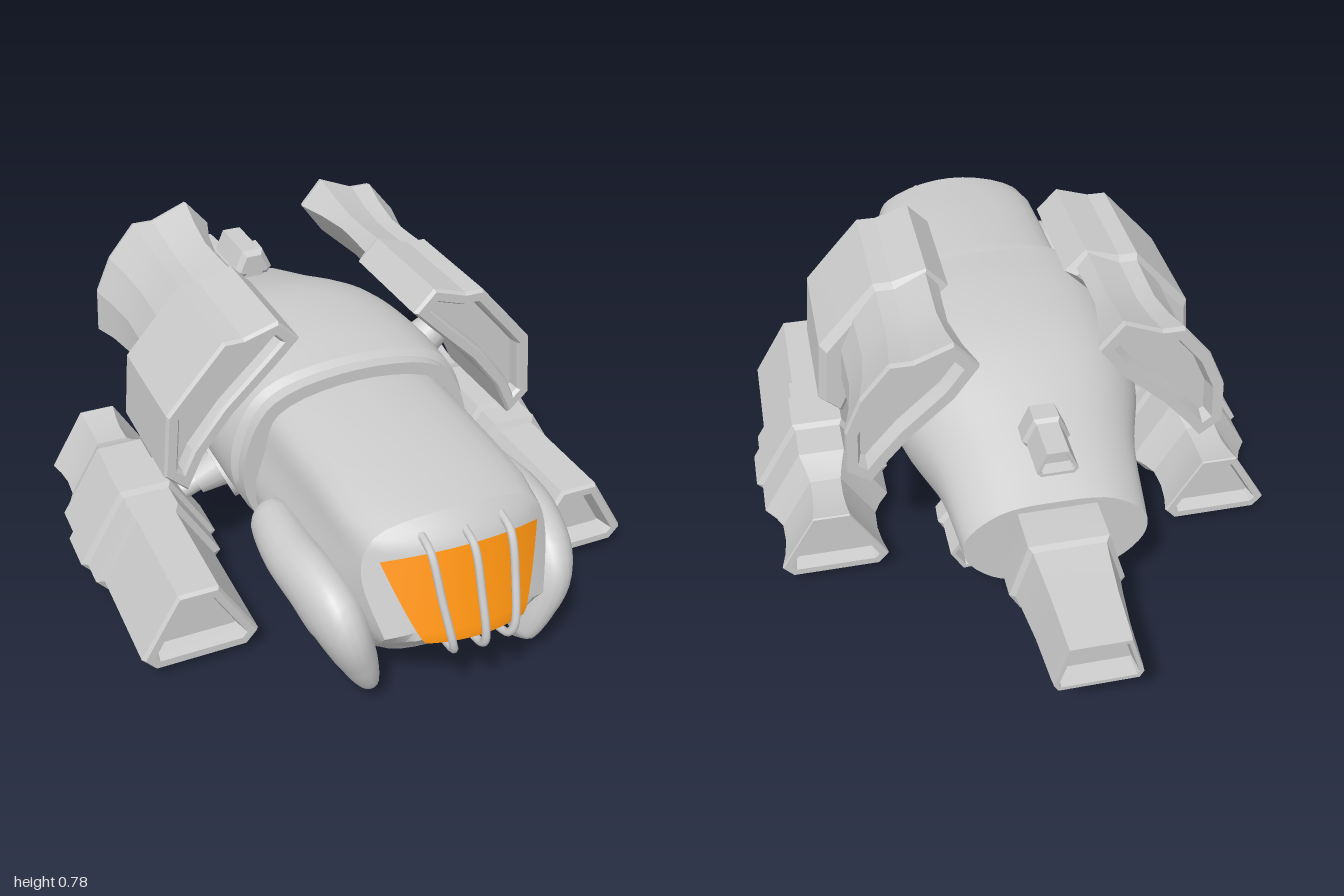
import * as THREE from 'three';
import { toCreasedNormals } from 'three/addons/utils/BufferGeometryUtils.js';

const V3 = (x, y, z) => new THREE.Vector3(x, y, z);
const grey = new THREE.MeshStandardMaterial({ color: 0xcccccc });
const orange = new THREE.MeshStandardMaterial({ color: 0xff9410, side: THREE.DoubleSide });

// Skin over a list of rings (clockwise seen from +z, running towards -z)
function loft(rings, crease, caps = true) {
  const n = rings[0].length, last = rings.length - 1, index = [];
  for (let i = 0; i < last; i++) for (let j = 0; j < n; j++) {
    const k = (j + 1) % n, a = i * n + j, b = i * n + k;
    index.push(a, b, a + n, b, b + n, a + n);
  }
  if (caps) for (const [i, sign] of [[0, 1], [last, -1]]) {
    const ring = rings[i].map(p => new THREE.Vector2(p.x, p.y));
    for (const [a, b, c] of THREE.ShapeUtils.triangulateShape(ring, [])) {
      const ccw = THREE.ShapeUtils.area([ring[a], ring[b], ring[c]]) * sign > 0;
      index.push(i * n + a, i * n + (ccw ? b : c), i * n + (ccw ? c : b));
    }
  }
  const geo = new THREE.BufferGeometry().setFromPoints(rings.flat());
  geo.setIndex(index);
  return toCreasedNormals(geo, crease);
}

// Outline moved inwards by d
function inset(pts, d) {
  const n = pts.length;
  const normal = (a, b) => new THREE.Vector2(b[1] - a[1], a[0] - b[0]).normalize();
  return pts.map((p, i) => {
    const u = normal(pts[(i + n - 1) % n], p), v = normal(p, pts[(i + 1) % n]);
    const s = d / (1 + u.dot(v));
    return [p[0] + (u.x + v.x) * s, p[1] + (u.y + v.y) * s];
  });
}

// Faceted body: one outline, stations of [z, inset]
const prism = (outline, stations) =>
  loft(stations.map(([z, d]) => inset(outline, d).map(p => V3(p[0], p[1], z))), 0.2);

// Symmetrical outline from its right half, listed from top to bottom
const both = half => [...half, ...half.map(([x, y]) => [-x, y]).reverse()];

function mirror(source) {
  const geo = source.index ? source.toNonIndexed() : source.clone();
  for (const name of ['position', 'normal']) {
    const a = geo.attributes[name];
    for (let i = 0; i < a.count; i += 3) {
      const p = [0, 2, 1].map(k => [-a.getX(i + k), a.getY(i + k), a.getZ(i + k)]);
      p.forEach((q, k) => a.setXYZ(i + k, ...q));
    }
  }
  return geo;
}

function strut(a, b, r1, r2, sides = 16) {
  const dir = b.clone().sub(a), geo = new THREE.CylinderGeometry(r2, r1, dir.length(), sides);
  geo.applyQuaternion(new THREE.Quaternion().setFromUnitVectors(V3(0, 1, 0), dir.normalize()));
  const mid = a.clone().add(b).multiplyScalar(0.5);
  return geo.translate(mid.x, mid.y, mid.z);
}

// Rounded hull section from half an outline (first and last on the centre line)
function section(half, z) {
  const pts = [...half, ...half.slice(1, -1).map(([x, y]) => [-x, y]).reverse()];
  return new THREE.CatmullRomCurve3(pts.map(p => V3(p[0], p[1], z)), true).getPoints(50).slice(0, -1);
}
function smooth(rings, n) {
  const lines = rings[0].map((_, j) => new THREE.CatmullRomCurve3(rings.map(r => r[j])).getPoints(n));
  return lines[0].map((_, i) => lines.map(l => l[i]));
}

// Depth of the curved face at x, y
const FACE = [[0.05, 0.78], [0.1, 0.8], [0.2, 0.91], [0.25, 0.96], [0.46, 0.89], [0.52, 0.84], [0.6, 0.78]];
function faceZ(x, y) {
  const i = Math.max(1, FACE.findIndex(f => f[0] >= y)), [a, b] = [FACE[i - 1], FACE[i]];
  return a[1] + (b[1] - a[1]) * (y - a[0]) / (b[0] - a[0]) - 1.4 * x * x;
}

export function createModel() {
  const model = new THREE.Group();
  const add = (name, geo, mat = grey) => {
    const m = new THREE.Mesh(geo, mat);
    m.name = name;
    model.add(m);
  };
  const pair = (name, geo) => {
    add(name + 'Left', geo);
    add(name + 'Right', mirror(geo));
  };

  // Front hull with its curved face
  const rim = section([[0, 0.52], [0.2, 0.475], [0.235, 0.4], [0.205, 0.25], [0.15, 0.1], [0, 0.09]], 0);
  const nose = [0.02, 0.15, 0.3, 0.4, 0.5, 0.6, 0.7, 0.8, 0.9, 1].map(t => rim.map(p => {
    const x = p.x * t, y = 0.31 + (p.y - 0.31) * t;
    return V3(x, y, faceZ(x, y));
  }));
  add('frontHull', loft([...nose,
    section([[0, 0.53], [0.22, 0.485], [0.245, 0.4], [0.265, 0.27], [0.185, 0.09], [0, 0.085]], 0.73),
    section([[0, 0.545], [0.22, 0.495], [0.25, 0.4], [0.275, 0.27], [0.2, 0.105], [0, 0.085]], 0.6),
    section([[0, 0.555], [0.22, 0.505], [0.26, 0.4], [0.285, 0.28], [0.205, 0.11], [0, 0.085]], 0.29)], 0.6));

  // Rear hull, starting with a raised collar and ending in a wide flat stern
  const collar = [[0, 0.585], [0.23, 0.54], [0.3, 0.43], [0.31, 0.29], [0.2, 0.115], [0, 0.08]];
  const body = smooth([
    section([[0, 0.6], [0.24, 0.555], [0.32, 0.43], [0.32, 0.29], [0.2, 0.115], [0, 0.075]], 0.27),
    section([[0, 0.61], [0.245, 0.56], [0.335, 0.43], [0.33, 0.3], [0.2, 0.12], [0, 0.08]], 0.1),
    section([[0, 0.595], [0.22, 0.55], [0.32, 0.43], [0.32, 0.3], [0.2, 0.13], [0, 0.1]], -0.14),
    section([[0, 0.52], [0.16, 0.49], [0.25, 0.41], [0.25, 0.3], [0.17, 0.18], [0, 0.145]], -0.38),
    section([[0, 0.435], [0.14, 0.42], [0.225, 0.35], [0.222, 0.28], [0.14, 0.205], [0, 0.195]], -0.597)], 20);
  add('rearHull', loft([section(collar, 0.32), section(collar, 0.285), ...body], 0.6));

  // Visor
  const visor = new THREE.PlaneGeometry(2, 1, 20, 14), vp = visor.attributes.position;
  for (let i = 0; i < vp.count; i++) {
    const u = vp.getX(i), v = vp.getY(i) + 0.5;
    const x = u * (0.125 + 0.075 * Math.pow(v, 0.8)), y = 0.247 + 0.21 * v - 0.025 * u * u * v;
    vp.setXYZ(i, x, y, faceZ(x, y) + 0.01);
  }
  visor.computeVertexNormals();
  add('visor', visor, orange);

  // Visor guard bars
  for (const s of [-1, 0, 1]) {
    const path = [[0.1, 0.478, -0.01], [0.1, 0.46, 0.025], [0.092, 0.36, 0.038], [0.078, 0.26, 0.035], [0.07, 0.235, 0.035], [0.065, 0.218, -0.02]]
      .map(([x, y, d]) => V3(s * x, y, faceZ(s * x, y) + d));
    add('visorBar', new THREE.TubeGeometry(new THREE.CatmullRomCurve3(path), 40, 0.01, 8));
  }

  // Cheek guards: [x, y, z, sideways radius, other radius]
  const guard = [[0.195, 0.05, 0.815, 0.002, 0.002], [0.208, 0.075, 0.815, 0.03, 0.05], [0.237, 0.15, 0.81, 0.05, 0.08],
    [0.272, 0.245, 0.79, 0.065, 0.095], [0.292, 0.29, 0.71, 0.066, 0.082], [0.303, 0.303, 0.6, 0.066, 0.068],
    [0.295, 0.305, 0.47, 0.058, 0.06], [0.29, 0.305, 0.44, 0.04, 0.05], [0.29, 0.305, 0.437, 0.002, 0.002]];
  const gPath = new THREE.CatmullRomCurve3(guard.map(g => V3(g[0], g[1], g[2])));
  const gSize = new THREE.CatmullRomCurve3(guard.map(g => V3(g[3], g[4], 0)));
  const gRings = [];
  for (let i = 0; i <= 48; i++) {
    const p = gPath.getPoint(i / 48), r = gSize.getPoint(i / 48), t = gPath.getTangent(i / 48);
    const n1 = V3(1, 0, 0).addScaledVector(t, -t.x).normalize(), n2 = t.clone().cross(n1);
    gRings.push(Array.from({ length: 20 }, (_, j) => {
      const a = j / 20 * Math.PI * 2;
      return p.clone().addScaledVector(n1, Math.cos(a) * r.x).addScaledVector(n2, Math.sin(a) * r.y);
    }));
  }
  pair('cheekGuard', loft(gRings, 0.9, false));

  // Upper wings: thick front section and flared rear section, both slotted
  const wingFront = [[0.155, 0.7], [0.21, 0.758], [0.3, 0.73], [0.35, 0.73], [0.43, 0.64], [0.5, 0.56], [0.515, 0.39],
    [0.455, 0.335], [0.41, 0.43], [0.33, 0.53], [0.22, 0.635]];
  const wingRear = [[0.165, 0.715], [0.21, 0.768], [0.3, 0.732], [0.352, 0.732], [0.42, 0.65], [0.46, 0.56], [0.465, 0.455],
    [0.425, 0.425], [0.395, 0.465], [0.33, 0.54], [0.22, 0.64]];
  pair('wingFront', prism(wingFront, [[0.27, 0.038], [0.3, 0.034], [0.31, 0.028], [0.31, 0.006], [0.3, 0],
    [-0.02, 0], [-0.05, 0.018]]));
  pair('wingRear', prism(wingRear, [[0, 0.012], [-0.1, 0.016], [-0.2, 0.018], [-0.3, 0.004], [-0.385, -0.016],
    [-0.4, -0.013], [-0.4, 0.014], [-0.36, 0.024]]));
  pair('wingStrut', strut(V3(0.24, 0.46, 0.1), V3(0.41, 0.58, 0.1), 0.042, 0.03));
  pair('wingStrutBase', strut(V3(0.25, 0.465, 0.1), V3(0.34, 0.53, 0.1), 0.06, 0.045));

  // Lower pods with stepped bands and hollow ends
  const podOutline = both([[0.068, 0.265], [0.185, 0.068], [0.13, 0.005]]);
  pair('pod', prism(podOutline, [[0.52, 0.066], [0.55, 0.06], [0.57, 0.055], [0.57, 0.036], [0.56, 0.03],
    [0.245, 0.03], [0.235, 0.013], [0.16, 0.013], [0.15, 0], [0.03, 0], [0.02, 0.013],
    [-0.085, 0.013], [-0.125, 0.035], [-0.16, 0.048], [-0.22, 0.05], [-0.27, 0.045], [-0.315, 0.036],
    [-0.32, 0.038], [-0.32, 0.056], [-0.28, 0.064]]).translate(0.525, 0, 0));
  pair('podStrut', strut(V3(0.24, 0.25, 0.08), V3(0.45, 0.155, 0.08), 0.034, 0.026));
  pair('podStrutCone', strut(V3(0.27, 0.235, 0.08), V3(0.365, 0.193, 0.08), 0.062, 0.038));
  const socket = strut(V3(0.22, 0.26, 0), V3(0.305, 0.222, 0), 0.1, 0.085, 24);
  pair('podStrutSocket', socket.scale(1, 1, 1.4).translate(0, 0, 0.07));

  // Tail block and tapering nozzle
  const tail = both([[0.098, 0.415], [0.143, 0.265], [0.115, 0.215]]);
  add('tailBlock', prism(tail, [[-0.55, 0.006], [-0.6, 0], [-0.71, 0], [-0.725, 0.02]]));
  add('tailNozzle', prism(tail, [[-0.7, 0.01], [-0.76, 0.018], [-0.86, 0.028], [-0.98, 0.034], [-1, 0.036],
    [-1, 0.046], [-0.95, 0.052]]));

  // Small thrusters on pylons: one on top, two larger ones low on the sides
  const small = both([[0.032, 0.042], [0.06, -0.022], [0.045, -0.042]]);
  for (const [name, angle, x, y, z, size] of [['topThruster', 0, 0, 0.55, 0, 1],
    ['leftThruster', -2.09, 0.2, 0.24, 0.06, 1.2], ['rightThruster', 2.09, -0.2, 0.24, 0.06, 1.2]]) {
    const place = g => g.scale(size, size, 1).rotateZ(angle).translate(x, y, z);
    add(name, place(prism(small, [[-0.4, 0.016], [-0.415, 0.002], [-0.47, 0], [-0.48, 0.008], [-0.59, 0.008],
      [-0.59, 0.016], [-0.56, 0.02]])));
    add(name + 'Pylon', place(new THREE.BoxGeometry(0.05, 0.1, 0.1).translate(0, -0.07, -0.45)));
  }
  return model;
}
